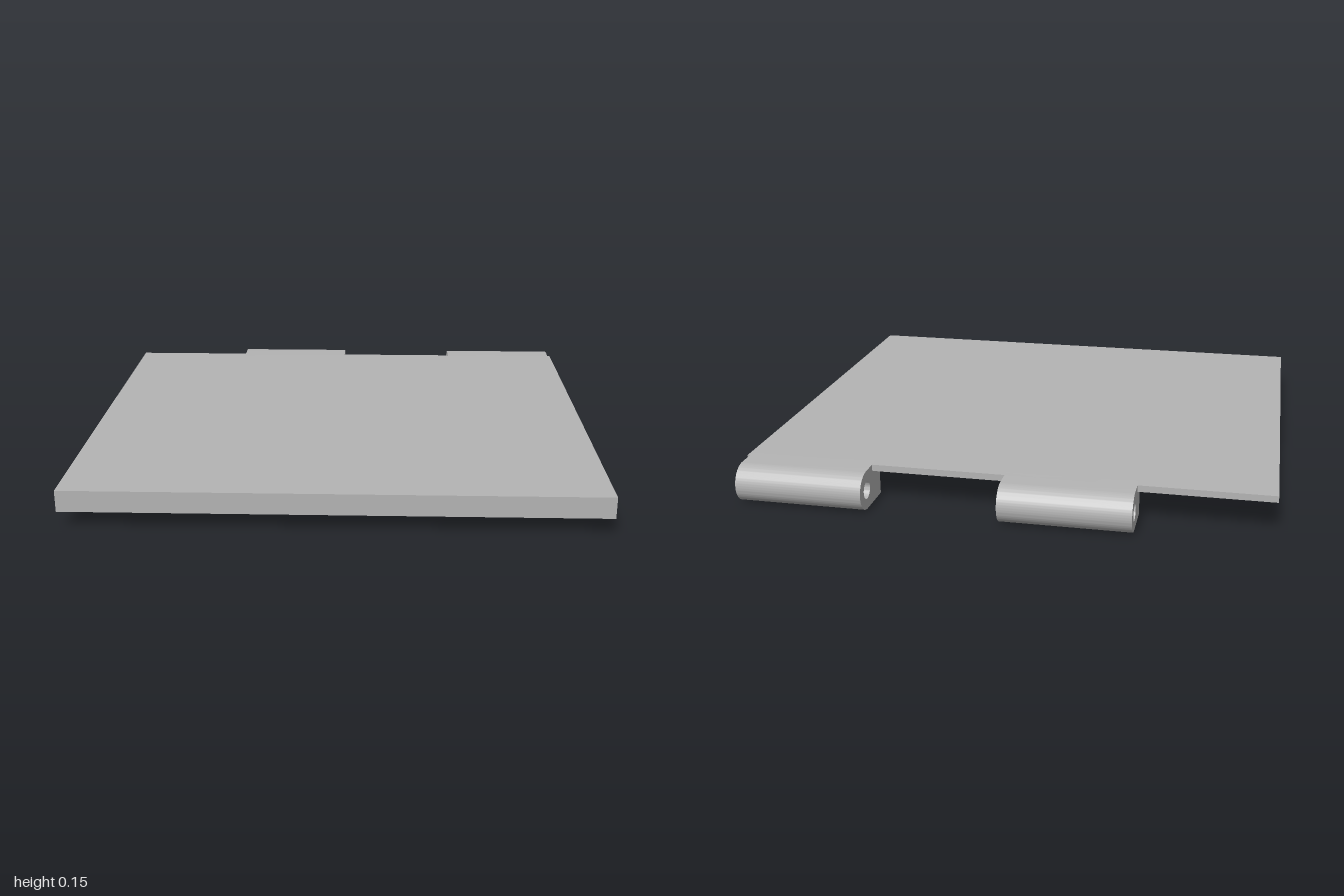
import * as THREE from 'three';
import { toCreasedNormals } from 'three/addons/utils/BufferGeometryUtils.js';

const TOP = 0.148;      // upper face of the panel
const UNDER = 0.123;    // lower face of the panel
const LIP = 0.066;      // bottom of lip and rib
const FRONT = 0.928;
const KNUCKLE_FRONT = -0.706;
const PIN_Z = -0.854;
const RADIUS = TOP / 2;

export function createModel() {
  const group = new THREE.Group();
  const grey = new THREE.MeshStandardMaterial({ color: 0xb4b4b4 });
  grey.name = 'plain grey';

  const add = (name, geometry) => {
    const mesh = new THREE.Mesh(geometry, grey);
    mesh.name = name;
    group.add(mesh);
    return mesh;
  };

  // Box given by its limits on each axis
  const block = (name, x0, x1, y0, y1, z0, z1) =>
    add(name, new THREE.BoxGeometry(x1 - x0, y1 - y0, z1 - z0))
      .position.set((x0 + x1) / 2, (y0 + y1) / 2, (z0 + z1) / 2);

  // Flat panel, front lip and central stiffening rib
  block('panel', -1, 1, UNDER, TOP, -0.786, FRONT);
  block('frontLip', -1, 1, LIP, UNDER, FRONT - 0.039, FRONT);
  block('centreRib', -0.02, 0.02, LIP, UNDER, KNUCKLE_FRONT, FRONT - 0.039);

  // Hinge knuckle: square in front, round behind, with a pin hole
  const profile = new THREE.Shape();
  profile.moveTo(KNUCKLE_FRONT, 0);
  profile.lineTo(KNUCKLE_FRONT, TOP);
  profile.lineTo(PIN_Z, TOP);
  profile.absarc(PIN_Z, RADIUS, RADIUS, Math.PI / 2, Math.PI * 1.5, false);
  profile.closePath();
  const hole = new THREE.Path();
  hole.absarc(PIN_Z, RADIUS, 0.034, 0, Math.PI * 2, true);
  profile.holes.push(hole);

  const width = 0.49;
  const knuckle = toCreasedNormals(
    new THREE.ExtrudeGeometry(profile, { depth: width, bevelEnabled: false, curveSegments: 24 })
      .rotateY(-Math.PI / 2),
    0.6
  );
  add('leftHingeKnuckle', knuckle).position.x = 0.5 + width;
  add('rightHingeKnuckle', knuckle).position.x = -0.5 + width;

  return group;
}
